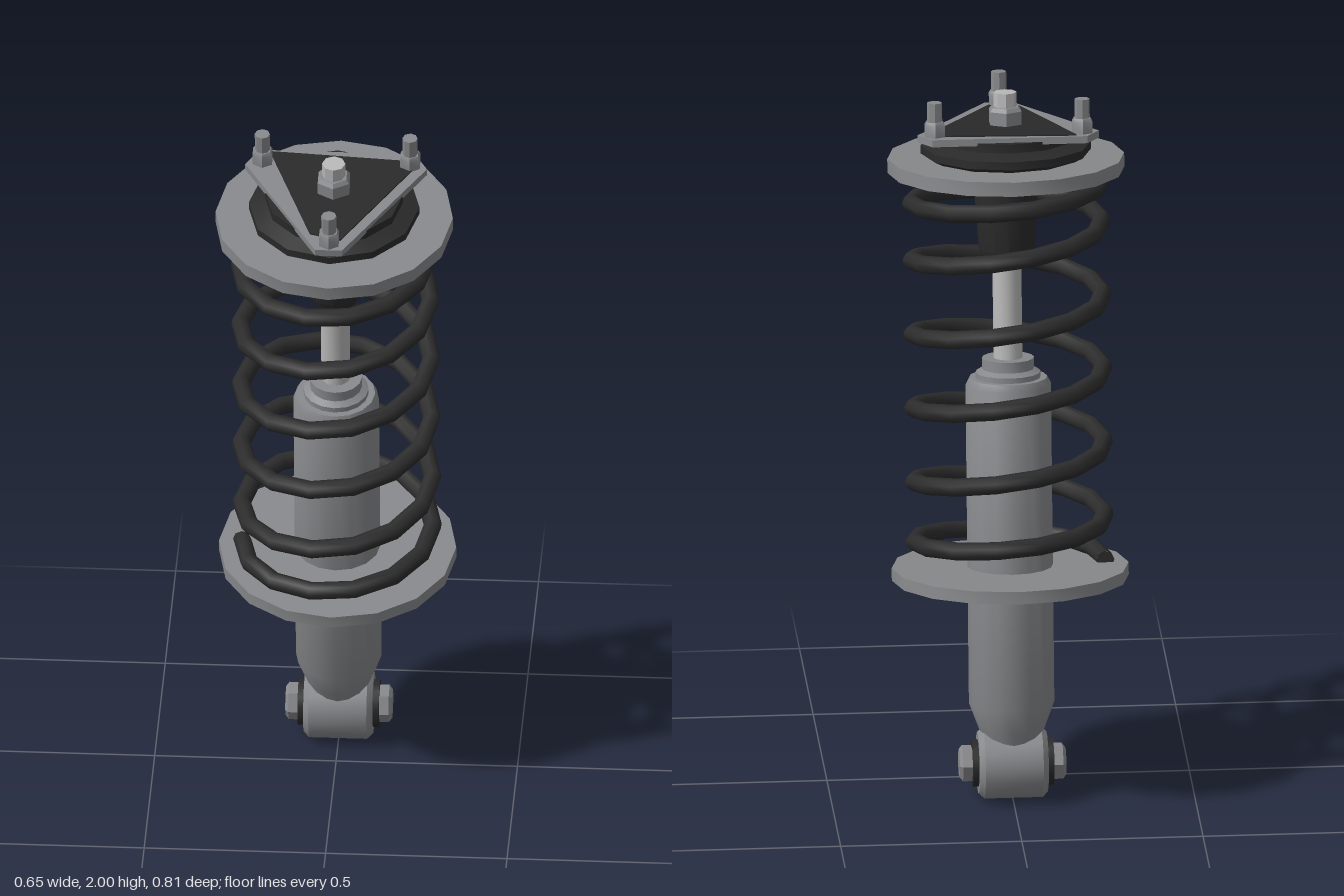
import * as THREE from 'three';
import { toCreasedNormals } from 'three/addons/utils/BufferGeometryUtils.js';

const material = (name, color) => {
  const m = new THREE.MeshStandardMaterial({ color });
  m.name = name;
  return m;
};

// Coil centre line: closed end turns with wider spacing in between
class Coil extends THREE.Curve {
  getPoint(t, target = new THREE.Vector3()) {
    const turn = t * 6;
    const y = 0.565 + 0.13 * Math.min(turn, 1)
      + 0.2085 * THREE.MathUtils.clamp(turn - 1, 0, 4)
      + 0.115 * Math.max(turn - 5, 0);
    const a = turn * Math.PI * 2;
    return target.set(-0.263 * Math.cos(a), y, 0.263 * Math.sin(a));
  }
}

export function createModel() {
  const steel = material('grey steel', 0x88898c);
  const chrome = material('bright rod', 0xb9b9b9);
  const rubber = material('black rubber', 0x2a2a2a);
  const paint = material('black spring paint', 0x2c2c2c);

  const model = new THREE.Group();
  model.name = 'coilover strut';
  // Everything sits on one axis, leaning forward from the lower eye
  const strut = new THREE.Group();
  strut.name = 'strut';
  strut.position.set(0, 0.1, -0.152);
  strut.rotation.x = THREE.MathUtils.degToRad(8);
  model.add(strut);

  const add = (name, geometry, mat, parent = strut) => {
    const mesh = new THREE.Mesh(geometry, mat);
    mesh.name = name;
    parent.add(mesh);
    return mesh;
  };
  // Turned part from [radius, height] pairs, listed from bottom to top
  const turned = (points, sides = 16) => toCreasedNormals(
    new THREE.LatheGeometry(points.map(p => new THREE.Vector2(...p)), sides), 0.6);
  const disc = (r, y0, y1, sides = 16) =>
    turned([[0, y0], [r, y0], [r, y1], [0, y1]], sides);

  // Damper
  add('damperBody', turned([[0, 0.06], [0.075, 0.06], [0.09, 0.095], [0.118, 0.17],
    [0.118, 1.07], [0.108, 1.09], [0, 1.09]]), steel);
  add('bodyCap', turned([[0.09, 1.085], [0.09, 1.105], [0.072, 1.115], [0.072, 1.145], [0, 1.145]]), steel);
  add('pistonRod', disc(0.04, 1.1, 1.7, 12), chrome);
  add('bumpStop', turned([[0, 1.42], [0.062, 1.42], [0.077, 1.455], [0.087, 1.6], [0.087, 1.68]], 12), rubber);

  // Spring and its seats
  add('lowerSpringSeat', disc(0.327, 0.522, 0.557), steel);
  add('upperSpringSeat', disc(0.327, 1.675, 1.715), steel);
  const coil = new Coil();
  add('spring', new THREE.TubeGeometry(coil, 84, 0.025, 8), paint);
  for (const t of [0, 1]) {
    const cap = add('springEnd', new THREE.CircleGeometry(0.025, 8), paint);
    const dir = coil.getTangent(t).multiplyScalar(t ? 1 : -1);
    cap.position.copy(coil.getPoint(t));
    cap.quaternion.setFromUnitVectors(new THREE.Vector3(0, 0, 1), dir);
  }

  // Top mount
  add('mountRubber', turned([[0.2, 1.71], [0.235, 1.728], [0.235, 1.75],
    [0.19, 1.765], [0.19, 1.79], [0, 1.79]], 12), rubber);
  const plate = (outline, top, depth) => {
    const g = new THREE.ExtrudeGeometry(
      new THREE.Shape(outline.map(p => new THREE.Vector2(...p))), { depth, bevelEnabled: false });
    return g.rotateX(Math.PI / 2).translate(0, top, 0);
  };
  const corners = [0, 1, 2].map(i => Math.PI / 2 + i * Math.PI * 2 / 3);
  const outline = corners.flatMap(a => [-0.037, 0.037].map(w =>
    [0.268 * Math.cos(a) - w * Math.sin(a), 0.268 * Math.sin(a) + w * Math.cos(a)]));
  add('mountPlate', plate(outline, 1.803, 0.02), steel);
  add('mountPad', plate([[-0.185, -0.157], [0.215, -0.13], [0.215, -0.1], [0.03, 0.225],
    [-0.055, 0.2]], 1.807, 0.006), rubber);

  // Studs with hex nuts
  const stud = (name, x, z, nutR, nutH, pinR, top, pinMat) => {
    const g = new THREE.Group();
    g.name = name;
    g.position.set(x, 1.8, z);
    strut.add(g);
    add('nut', turned([[nutR, 0], [nutR, nutH * 0.8], [nutR * 0.82, nutH], [0, nutH]], 6), steel, g);
    add('pin', disc(pinR, 0, top, 8), pinMat, g);
  };
  for (const a of corners)
    stud('mountStud', 0.235 * Math.cos(a), 0.235 * Math.sin(a), 0.031, 0.045, 0.021, 0.098, steel);
  stud('rodNut', 0, 0, 0.05, 0.055, 0.032, 0.095, chrome);

  // Lower eye with bushing and cross bolt
  const eye = new THREE.Group();
  eye.name = 'lowerEye';
  eye.rotation.z = -Math.PI / 2;
  strut.add(eye);
  add('eyeSleeve', turned([[0, -0.095], [0.085, -0.095], [0.1, -0.08], [0.1, 0.08],
    [0.085, 0.095], [0, 0.095]]), steel, eye);
  add('eyeBushing', disc(0.066, -0.112, 0.112), rubber, eye);
  add('crossBolt', turned([[0, -0.147], [0.04, -0.147], [0.052, -0.138], [0.052, 0.138],
    [0.04, 0.147], [0, 0.147]], 6), steel, eye);

  return model;
}
